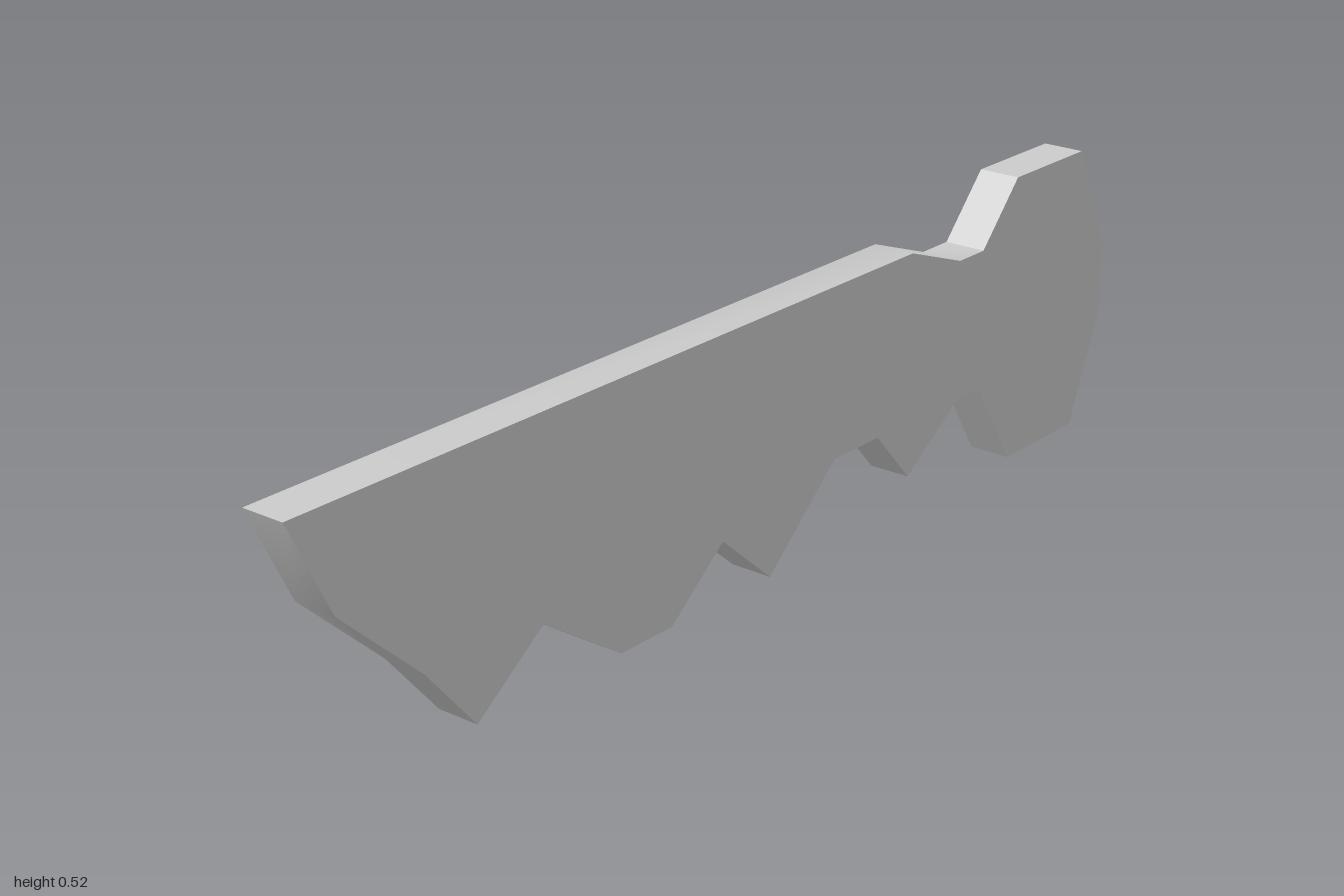
import * as THREE from 'three';
import { toCreasedNormals } from 'three/addons/utils/BufferGeometryUtils.js';

const THICKNESS = 0.077;

// Side outlines as [z, y] points
const toothedEdge = [
  [1, 0.465], [0.92, 0.3], [0.76, 0.15], [0.66, 0.03], [0.515, 0.135],
  [0.345, 0.02], [0.225, 0.02], [0.1, 0.12], [-0.02, 0.015],
  [-0.19, 0.165], [-0.31, 0.165], [-0.4, 0.065], [-0.54, 0.16],
];
const handle = [
  [-0.61, 0.16], [-0.71, 0], [-0.915, 0], [-1, 0.2],
  [-1, 0.33], [-0.915, 0.522], [-0.71, 0.522], [-0.61, 0.415],
];
const straightBack = [[-0.54, 0.415], [-0.4, 0.465]];

export function createModel() {
  const group = new THREE.Group();
  const steel = new THREE.MeshStandardMaterial({ color: 0xcccccc });
  steel.name = 'pale grey steel';

  // One flat plate: toothed blade, narrow neck and wide handle
  const outline = [...toothedEdge, ...handle, ...straightBack];
  const shape = new THREE.Shape(outline.map(([z, y]) => new THREE.Vector2(z, y)));
  const plate = new THREE.ExtrudeGeometry(shape, { depth: THICKNESS, bevelEnabled: false });
  plate.translate(0, 0, -THICKNESS / 2);
  plate.rotateY(-Math.PI / 2);

  // Gentle bends stay smooth, teeth and rims stay sharp
  const mesh = new THREE.Mesh(toCreasedNormals(plate, Math.PI / 6), steel);
  mesh.name = 'toothedBladeAndHandle';
  group.add(mesh);
  return group;
}
